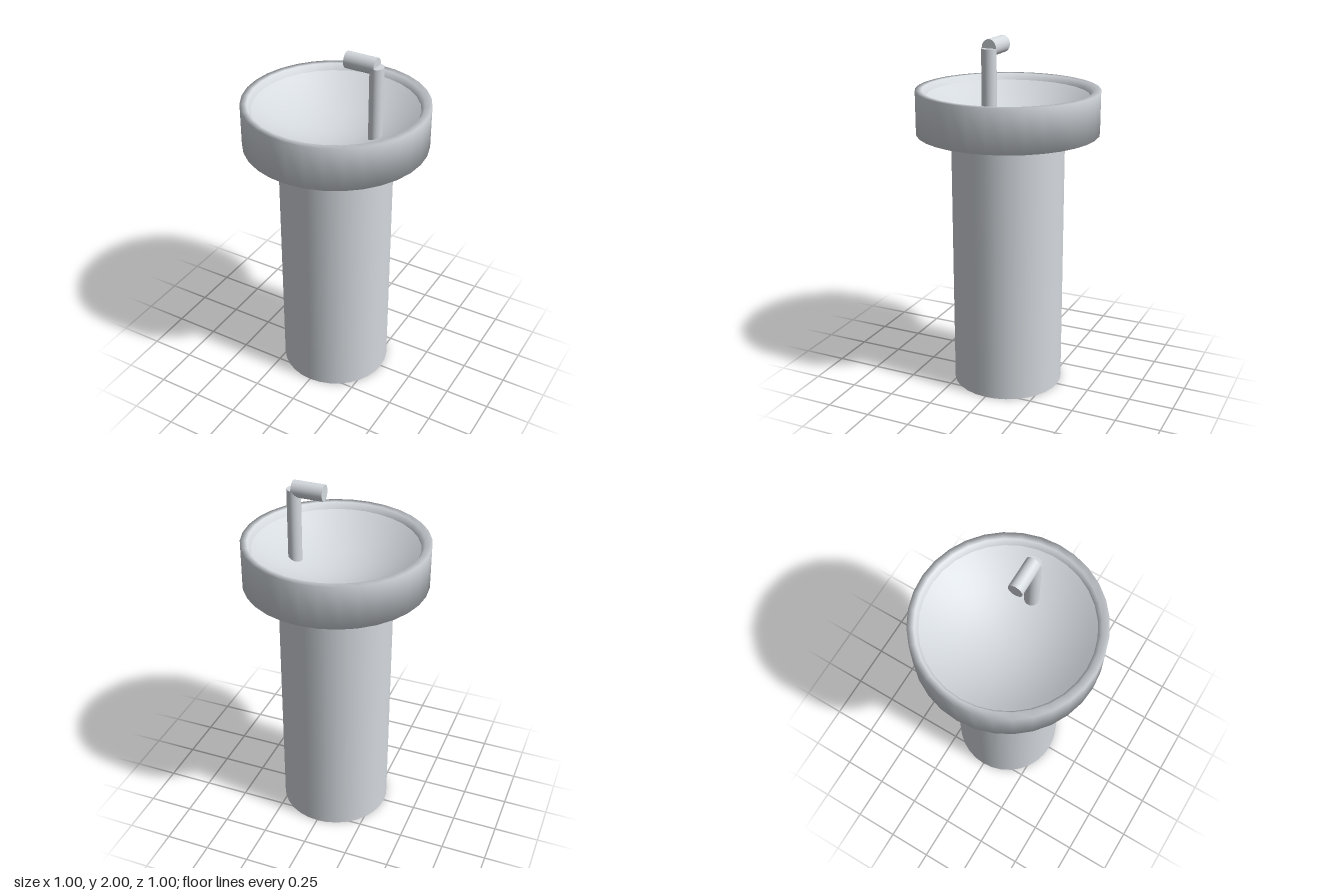
import * as THREE from 'three';

export function createModel() {
  const model = new THREE.Group();
  model.name = 'pedestalBasin';
  const ceramic = new THREE.MeshStandardMaterial({ color: 0xd4d9de });
  ceramic.name = 'pale grey';

  const add = (name, geometry, x = 0, y = 0) => {
    const mesh = new THREE.Mesh(geometry, ceramic);
    mesh.name = name;
    mesh.position.set(x, y, 0);
    model.add(mesh);
    return mesh;
  };
  const lathe = (points) =>
    new THREE.LatheGeometry(points.map(([r, y]) => new THREE.Vector2(r, y)), 32);

  // Round column
  add('pedestal', new THREE.CylinderGeometry(0.311, 0.311, 1.43, 32), 0, 0.715);

  // Outer shell: underside, wall and soft-shaded lip
  add('basinShell', lathe([
    [0, 1.443], [0.31, 1.443], [0.5, 1.468], [0.5, 1.705], [0.463, 1.705], [0.445, 1.67],
  ]));

  // Shallow dished interior, from the lip in to the centre so it faces up
  const dish = [];
  for (let i = 12; i >= 0; i--) {
    const t = i / 12;
    dish.push([0.445 * t, 1.513 + 0.157 * t * t]);
  }
  add('basinBowl', lathe(dish));

  // Tap: upright pipe and spout reaching over the bowl, both slightly oval
  const pipe = add('tapPipe', new THREE.CylinderGeometry(0.04, 0.04, 0.413, 32), 0.234, 1.7465);
  pipe.scale.x = 0.93;
  const spout = add('tapSpout', new THREE.CylinderGeometry(0.04, 0.04, 0.172, 32), 0.149, 1.955);
  spout.rotation.z = Math.PI / 2;
  spout.scale.x = 1.125;

  return model;
}
